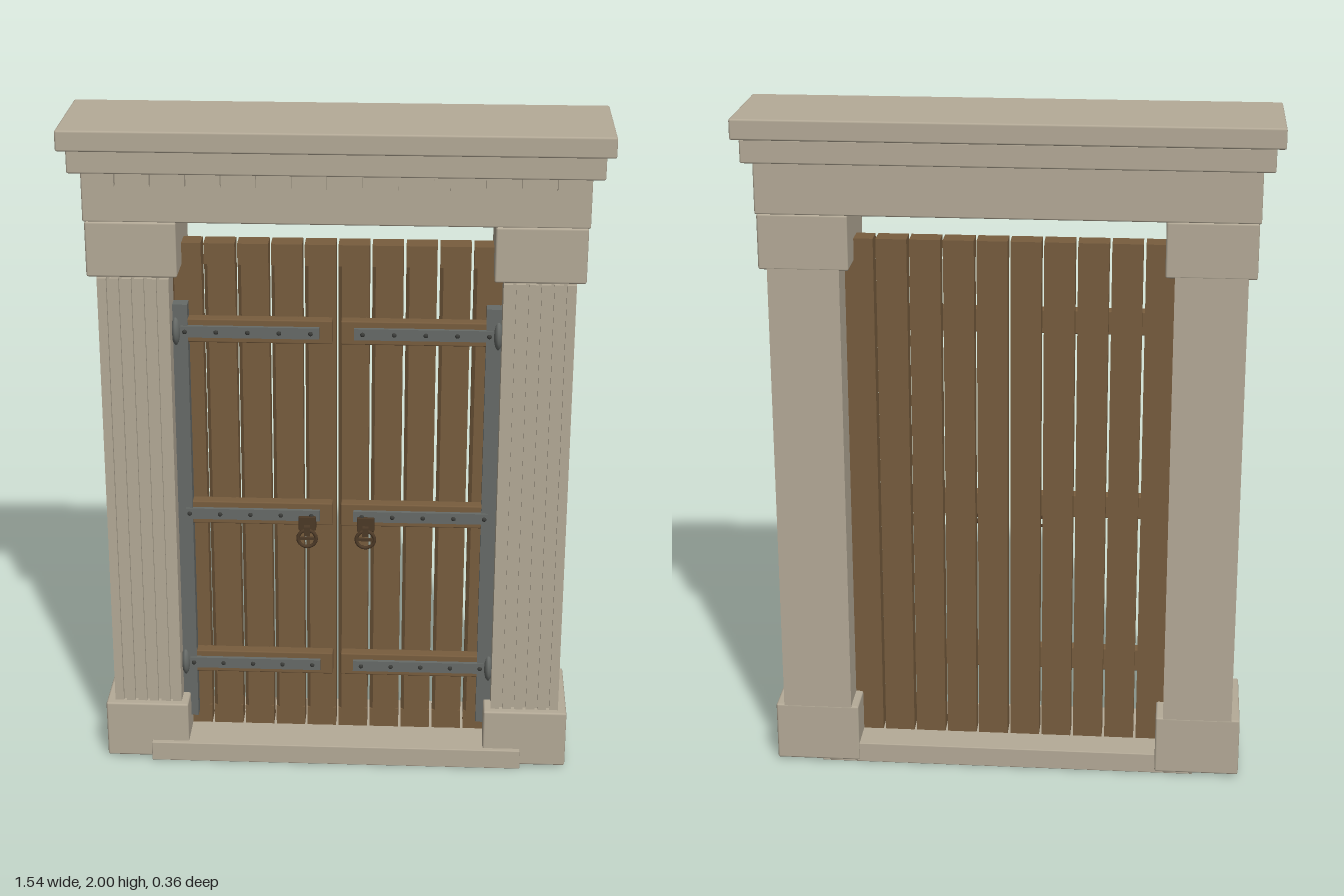
import * as THREE from 'three';
import { RoundedBoxGeometry } from 'three/addons/geometries/RoundedBoxGeometry.js';

const material = (name, color) => {
  const m = new THREE.MeshStandardMaterial({ color });
  m.name = name;
  return m;
};

export function createModel() {
  const stone = material('stone', 0xb5ab98);
  const wood = material('wood', 0x785d3e);
  const iron = material('iron', 0x676b68);
  const darkIron = material('dark iron', 0x3c3d3a);
  const bronze = material('bronze', 0x4d3a27);
  const model = new THREE.Group();
  model.name = 'doorway';

  const add = (name, geometry, mat, parent = model) => {
    const mesh = new THREE.Mesh(geometry, mat);
    mesh.name = name;
    parent.add(mesh);
    return mesh;
  };
  // Box given by its extents; bevel softens the edges
  const box = (name, [x0, x1], [y0, y1], [z0, z1], mat, parent, bevel = 0) => {
    const size = [x1 - x0, y1 - y0, z1 - z0];
    const g = bevel ? new RoundedBoxGeometry(...size, 1, bevel) : new THREE.BoxGeometry(...size);
    g.translate((x0 + x1) / 2, (y0 + y1) / 2, (z0 + z1) / 2);
    return add(name, g, mat, parent);
  };
  // Extents mirrored to either side of the centre
  const span = (s, a, b) => (s > 0 ? [a, b] : [-b, -a]);

  // Entablature
  box('corniceTop', [-0.768, 0.768], [1.94, 2], [-0.178, 0.178], stone, model, 0.006);
  box('corniceLower', [-0.743, 0.743], [1.873, 1.942], [-0.168, 0.157], stone, model, 0.005);
  box('frieze', [-0.71, 0.71], [1.725, 1.876], [-0.156, 0.125], stone, model, 0.005);
  for (let i = 0; i < 14; i++) {
    const x = (i - 6.5) * 0.0985;
    box('dentil', [x - 0.027, x + 0.027], [1.835, 1.876], [0.115, 0.152], stone);
  }

  // Threshold
  box('threshold', [-0.567, 0.567], [0, 0.063], [-0.152, 0.147], stone, model, 0.003);

  // Plank with stopped chamfers along its front edges
  const chamferedPlank = (x0, x1, parent) => {
    const back = -0.05, front = 0.015, c = 0.01;
    const corners = [[x0, -back], [x0, -front + c], [x0 + c, -front], [x1 - c, -front], [x1, -front + c], [x1, -back]];
    const shape = new THREE.Shape(corners.map(([x, y]) => new THREE.Vector2(x, y)));
    const g = new THREE.ExtrudeGeometry(shape, { depth: 1.445, bevelEnabled: false });
    g.rotateX(-Math.PI / 2).translate(0, 0.125, 0);
    add('plank', g, wood, parent);
    box('plankFoot', [x0, x1], [0.063, 0.125], [back, front], wood, parent);
    box('plankHead', [x0, x1], [1.57, 1.633], [back, front], wood, parent);
  };

  for (const s of [-1, 1]) {
    const side = s > 0 ? 'left' : 'right';

    // Pillar with raised strips on the front
    const pillar = new THREE.Group();
    pillar.name = side + 'Pillar';
    model.add(pillar);
    box('pillarBase', span(s, 0.452, 0.705), [0.007, 0.19], [-0.158, 0.133], stone, pillar, 0.006);
    box('pillarShaft', span(s, 0.474, 0.68), [0.18, 1.57], [-0.157, 0.1], stone, pillar);
    box('pillarCapital', span(s, 0.447, 0.705), [1.565, 1.727], [-0.158, 0.13], stone, pillar, 0.006);
    for (let i = 0; i < 6; i++) {
      const x = 0.474 + i * 0.0357;
      box('pillarStrip', span(s, x, x + 0.0265), [0.185, 1.555], [0.098, 0.112], stone, pillar);
    }

    // Door leaf
    const door = new THREE.Group();
    door.name = side + 'Door';
    model.add(door);
    for (let i = 0; i < 5; i++) {
      const x = i * 0.0968;
      chamferedPlank(...span(s, x + 0.004, x + 0.0928), door);
    }
    box('hingePost', span(s, 0.43, 0.473), [0.11, 1.46], [0, 0.055], iron, door);

    // Battens, iron straps and rivets
    for (const y of [0.298, 0.802, 1.379]) {
      box('batten', span(s, 0.012, 0.44), [y - 0.036, y + 0.036], [0.01, 0.048], wood, door, 0.004);
      box('strap', span(s, 0.05, 0.45), [y - 0.017, y + 0.017], [0.04, 0.06], iron, door);
      for (let i = 0; i < 5; i++) {
        const rivet = add('rivet', new THREE.SphereGeometry(0.007, 8, 6), darkIron, door);
        rivet.position.set(s * (0.075 + i * 0.091), y, 0.06);
        rivet.scale.z = 0.7;
      }
    }
    // Rounded hinge lugs
    for (const y of [0.298, 1.379]) {
      const lug = add('hingeLug', new THREE.SphereGeometry(1, 12, 8), iron, door);
      lug.scale.set(0.014, 0.045, 0.03);
      lug.position.set(s * 0.465, y, 0.045);
    }

    // Ring handle
    const handle = new THREE.Group();
    handle.name = side + 'Handle';
    handle.position.set(s * 0.087, 0, 0);
    door.add(handle);
    box('handlePlate', [-0.026, 0.026], [0.757, 0.802], [0.045, 0.068], bronze, handle, 0.003);
    box('handleBracket', [-0.009, 0.009], [0.748, 0.776], [0.06, 0.084], bronze, handle);
    const ring = add('handleRing', new THREE.TorusGeometry(0.027, 0.0055, 8, 20), bronze, handle);
    ring.position.set(0, 0.736, 0.076);
    box('handleBar', [-0.027, 0.027], [0.732, 0.74], [0.072, 0.08], bronze, handle);
  }
  return model;
}
